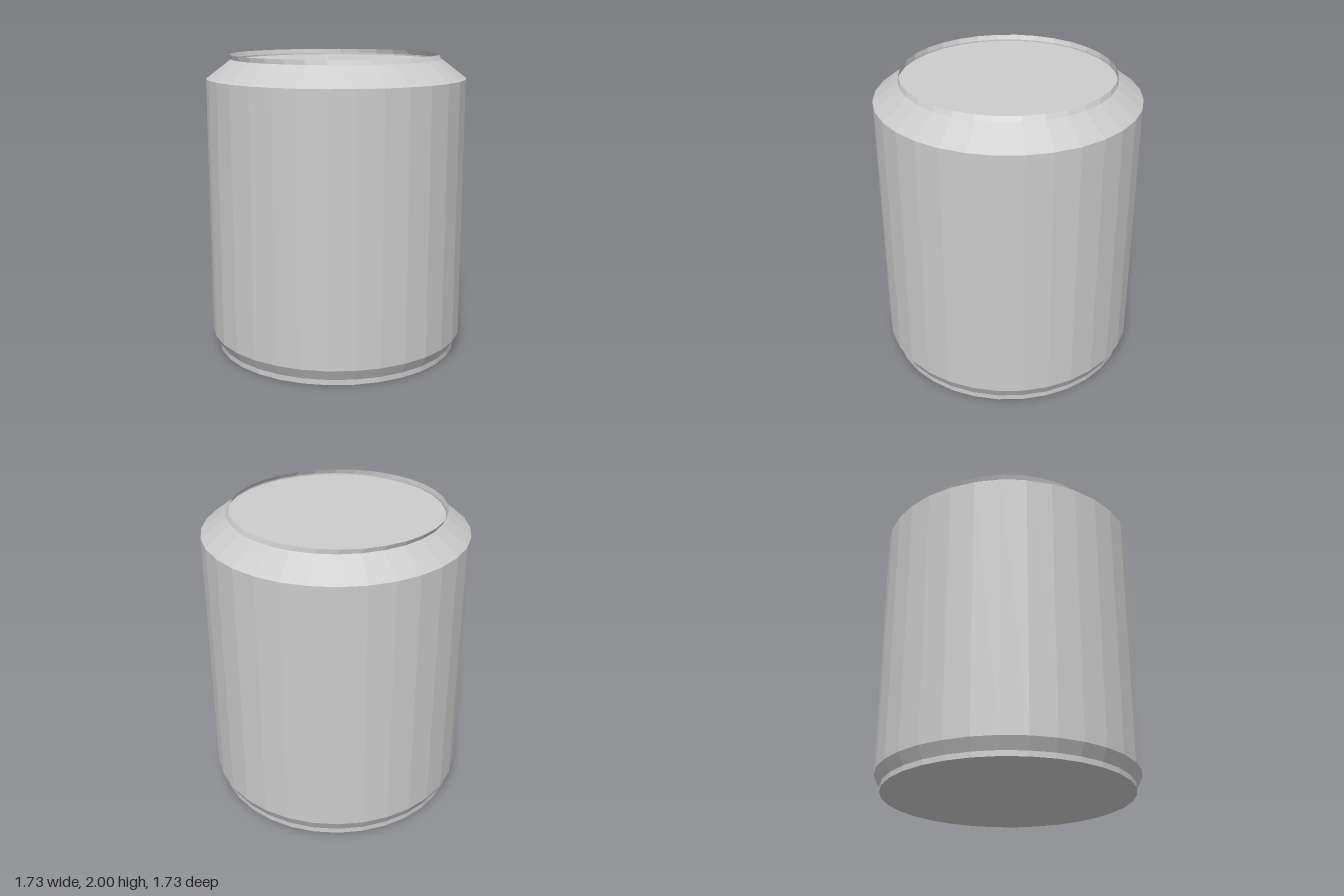
import * as THREE from 'three';

const SIDES = 32;

export function createModel() {
  const group = new THREE.Group();
  const metal = new THREE.MeshStandardMaterial({ color: 0xcccccc, flatShading: true, side: THREE.DoubleSide });
  metal.name = 'bare metal';

  const add = (name, geometry) => {
    const mesh = new THREE.Mesh(geometry, metal);
    mesh.name = name;
    group.add(mesh);
    return mesh;
  };
  const lathe = (profile) =>
    new THREE.LatheGeometry(profile.map(([r, y]) => new THREE.Vector2(r, y)), SIDES);

  // Can body: flat base, foot, straight wall and sloped shoulder
  add('body', lathe([[0, 0], [0.825, 0], [0.825, 0.035], [0.865, 0.11], [0.865, 1.845], [0.7, 1.97]]));

  // Thin rim whose top edge leans slightly off centre
  const rim = lathe([[0.7, 1.96], [0.7, 1.97], [0.696, 2]]);
  const pos = rim.attributes.position;
  for (let i = 0; i < pos.count; i++) {
    if (pos.getY(i) > 1.99) {
      pos.setX(i, pos.getX(i) - 0.01);
      pos.setZ(i, pos.getZ(i) - 0.015);
    }
  }
  rim.computeVertexNormals();
  add('rim', rim);

  // Recessed lid
  const lid = add('lid', new THREE.CircleGeometry(0.7, SIDES).rotateX(-Math.PI / 2));
  lid.position.y = 1.96;

  return group;
}
